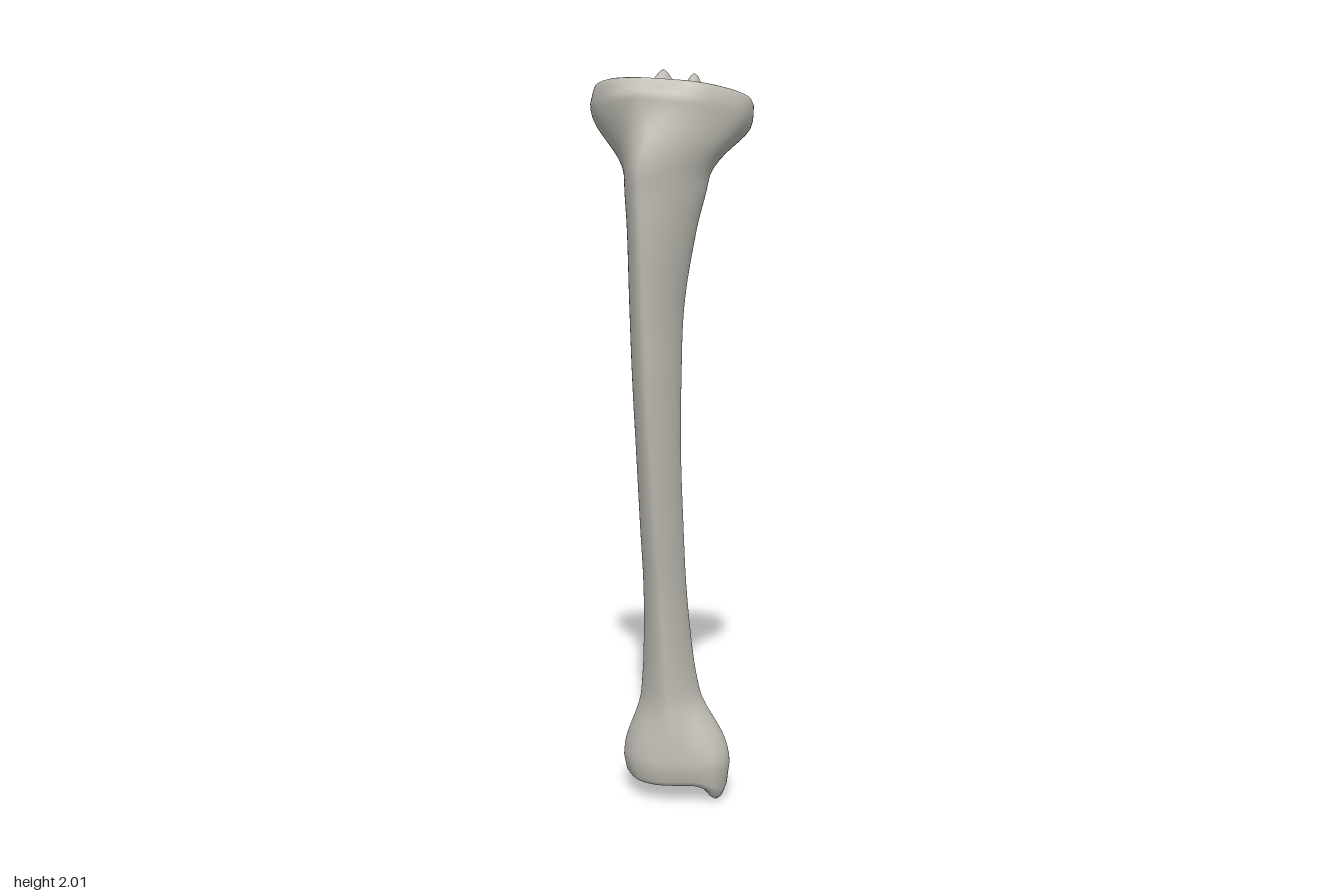
import * as THREE from 'three';

const SIDES = 96;

// Shaft sections: y, x min, x max, z front, z back, crest x
const SHAFT = [
  [0.10, -0.125, 0.150, 0.060, -0.150, 0.010],
  [0.20, -0.095, 0.110, 0.055, -0.125, 0.008],
  [0.30, -0.085, 0.083, 0.050, -0.113, 0.003],
  [0.40, -0.077, 0.066, 0.054, -0.100, -0.003],
  [0.60, -0.071, 0.050, 0.070, -0.070, -0.012],
  [0.80, -0.075, 0.045, 0.098, -0.042, -0.020],
  [1.00, -0.080, 0.042, 0.126, -0.025, -0.027],
  [1.20, -0.088, 0.044, 0.149, -0.029, -0.033],
  [1.40, -0.094, 0.052, 0.165, -0.038, -0.038],
  [1.60, -0.099, 0.085, 0.180, -0.050, -0.042],
  [1.70, -0.106, 0.110, 0.184, -0.062, -0.045],
  [1.80, -0.108, 0.128, 0.192, -0.075, -0.045],
  [1.86, -0.130, 0.150, 0.186, -0.120, -0.040],
  [1.915, -0.180, 0.190, 0.165, -0.160, -0.030],
];

// Outlines as x, z points
const PLATEAU = [
  [0.217, -0.04], [0.2, 0.02], [0.15, 0.075], [0.09, 0.108], [0, 0.115], [-0.08, 0.112],
  [-0.14, 0.085], [-0.18, 0.04], [-0.205, -0.02], [-0.2, -0.085], [-0.16, -0.115],
  [-0.1, -0.13], [-0.05, -0.132], [0, -0.158], [0.04, -0.18], [0.09, -0.19], [0.17, -0.165], [0.208, -0.105],
];
const HEAD = [
  [0.217, -0.04], [0.203, 0.025], [0.155, 0.08], [0.09, 0.122], [0, 0.15], [-0.05, 0.162], [-0.09, 0.14],
  [-0.145, 0.09], [-0.187, 0.04], [-0.21, -0.01], [-0.218, -0.055], [-0.2, -0.09], [-0.16, -0.115],
  [-0.1, -0.128], [-0.05, -0.12], [0, -0.14], [0.04, -0.17], [0.09, -0.187], [0.17, -0.165], [0.208, -0.105],
];
const ANKLE = [
  [0.172, -0.02], [0.145, 0.03], [0.085, 0.052], [0, 0.066], [-0.05, 0.06], [-0.1, 0.03],
  [-0.136, -0.04], [-0.118, -0.1], [-0.09, -0.155], [-0.05, -0.178], [0, -0.165], [0.04, -0.138],
  [0.1, -0.11], [0.155, -0.075],
];

const HEAD_C = [0, -0.03], ANKLE_C = [0.01, -0.06];
const angleOf = j => (j / SIDES) * Math.PI * 2;

// Resample an outline at even angles around a centre
function outline(points, [cx, cz]) {
  const curve = new THREE.CatmullRomCurve3(points.map(([x, z]) => new THREE.Vector3(x, 0, z)), true);
  const samples = curve.getPoints(1500).map(p => [Math.atan2(p.z - cz, p.x - cx), Math.hypot(p.x - cx, p.z - cz)]);
  return Array.from({ length: SIDES }, (_, j) => {
    const a = angleOf(j);
    let best = 9, r = 0;
    for (const [b, q] of samples) {
      const d = 1 - Math.cos(a - b);
      if (d < best) { best = d; r = q; }
    }
    return [cx + r * Math.cos(a), cz + r * Math.sin(a)];
  });
}

// Smoothly interpolated shaft section values at height y
function sectionAt(y) {
  const n = SHAFT.length;
  let i = 0;
  while (i < n - 2 && y > SHAFT[i + 1][0]) i++;
  const a = SHAFT[i], b = SHAFT[i + 1], p = SHAFT[Math.max(i - 1, 0)], q = SHAFT[Math.min(i + 2, n - 1)];
  const h = b[0] - a[0], t = (y - a[0]) / h, t2 = t * t, t3 = t2 * t;
  return a.map((v, k) => {
    const ma = (b[k] - p[k]) / (b[0] - p[0]) * h, mb = (q[k] - v) / (q[0] - a[0]) * h;
    return (2 * t3 - 3 * t2 + 1) * v + (t3 - 2 * t2 + t) * ma + (3 * t2 - 2 * t3) * b[k] + (t3 - t2) * mb;
  });
}

// Rounded triangle with a narrow front crest
function shaftPoint([, xl, xr, zf, zb, cx], a) {
  const cz = zb + 0.42 * (zf - zb), c = Math.cos(a), s = Math.sin(a);
  const w = c > 0 ? xr - cx : cx - xl, d = s > 0 ? zf - cz : cz - zb;
  const p = s > 0 ? 1.55 : 1.85;
  const r = Math.pow(Math.pow(Math.abs(c) / w, p) + Math.pow(Math.abs(s) / d, p), -1 / p);
  return [cx + r * c, cz + r * s];
}

const bump = (x, z, bx, bz, sx, sz) => Math.exp(-(((x - bx) / sx) ** 2) - ((z - bz) / sz) ** 2);

// Knee surface: sloping plateau, two hollows, two central spines
const kneeHeight = (x, z) => 1.958 + 0.15 * z - 0.07 * x
  + 0.05 * bump(x, z, -0.015, -0.02, 0.028, 0.05)
  + 0.058 * bump(x, z, 0.06, -0.065, 0.026, 0.045)
  - 0.016 * bump(x, z, 0.135, -0.07, 0.06, 0.08)
  - 0.01 * bump(x, z, -0.12, -0.03, 0.06, 0.07)
  - 0.022 * bump(x, z, 0.02, -0.15, 0.03, 0.04)
  - 0.012 * bump(x, z, 0.06, 0.04, 0.04, 0.03);

// Ankle surface: shallow arch with a downward inner knob
const ankleHeight = (x, z) => 0.048
  + 0.022 * bump(x, z, 0.02, -0.05, 0.07, 0.06)
  - 0.058 * bump(x, z, 0.133, -0.02, 0.036, 0.045);

function boneGeometry() {
  const plateau = outline(PLATEAU, HEAD_C), head = outline(HEAD, HEAD_C), ankle = outline(ANKLE, ANKLE_C);
  const rings = [];
  const mix = THREE.MathUtils.lerp, step = THREE.MathUtils.smoothstep;
  const cap = (shape, [cx, cz], s, height, drop) => rings.push(shape.map(([px, pz]) => {
    const x = cx + (px - cx) * s, z = cz + (pz - cz) * s;
    return [x, height(x, z) + drop, z];
  }));

  // ankle cap
  for (let i = 0; i <= 12; i++) cap(ankle, ANKLE_C, 0.88 * i / 12, ankleHeight, 0);
  cap(ankle, ANKLE_C, 0.95, ankleHeight, 0.014);

  // shaft flaring into both ends
  const ROWS = 90;
  for (let i = 0; i <= ROWS; i++) {
    const y = mix(0.1, 1.915, i / ROWS), row = sectionAt(y);
    const up = step(y, 1.72, 1.915), down = 1 - step(y, 0.09, 0.3);
    rings.push(Array.from({ length: SIDES }, (_, j) => {
      let [x, z] = shaftPoint(row, angleOf(j));
      x = mix(mix(x, head[j][0], up), ankle[j][0], down);
      z = mix(mix(z, head[j][1], up), ankle[j][1], down);
      return [x, y + up * (0.15 * z - 0.05 * x), z];
    }));
  }

  // knee cap
  cap(plateau, HEAD_C, 1, kneeHeight, -0.016);
  cap(plateau, HEAD_C, 0.975, kneeHeight, -0.003);
  for (let i = 22; i >= 0; i--) cap(plateau, HEAD_C, 0.94 * i / 22, kneeHeight, 0);

  const index = [];
  for (let i = 0; i < rings.length - 1; i++) {
    for (let j = 0; j < SIDES; j++) {
      const k = (j + 1) % SIDES;
      const a = i * SIDES + j, b = i * SIDES + k, c = a + SIDES, d = b + SIDES;
      index.push(a, c, b, b, c, d);
    }
  }
  const geometry = new THREE.BufferGeometry();
  geometry.setAttribute('position', new THREE.Float32BufferAttribute(rings.flat(2), 3));
  geometry.setIndex(index);
  geometry.computeVertexNormals();
  return geometry;
}

export function createModel() {
  const group = new THREE.Group();
  group.name = 'shinBone';
  const bone = new THREE.MeshStandardMaterial({ color: 0xbfbdb4 });
  bone.name = 'bone';
  const mesh = new THREE.Mesh(boneGeometry(), bone);
  mesh.name = 'boneBody';
  group.add(mesh);
  return group;
}
